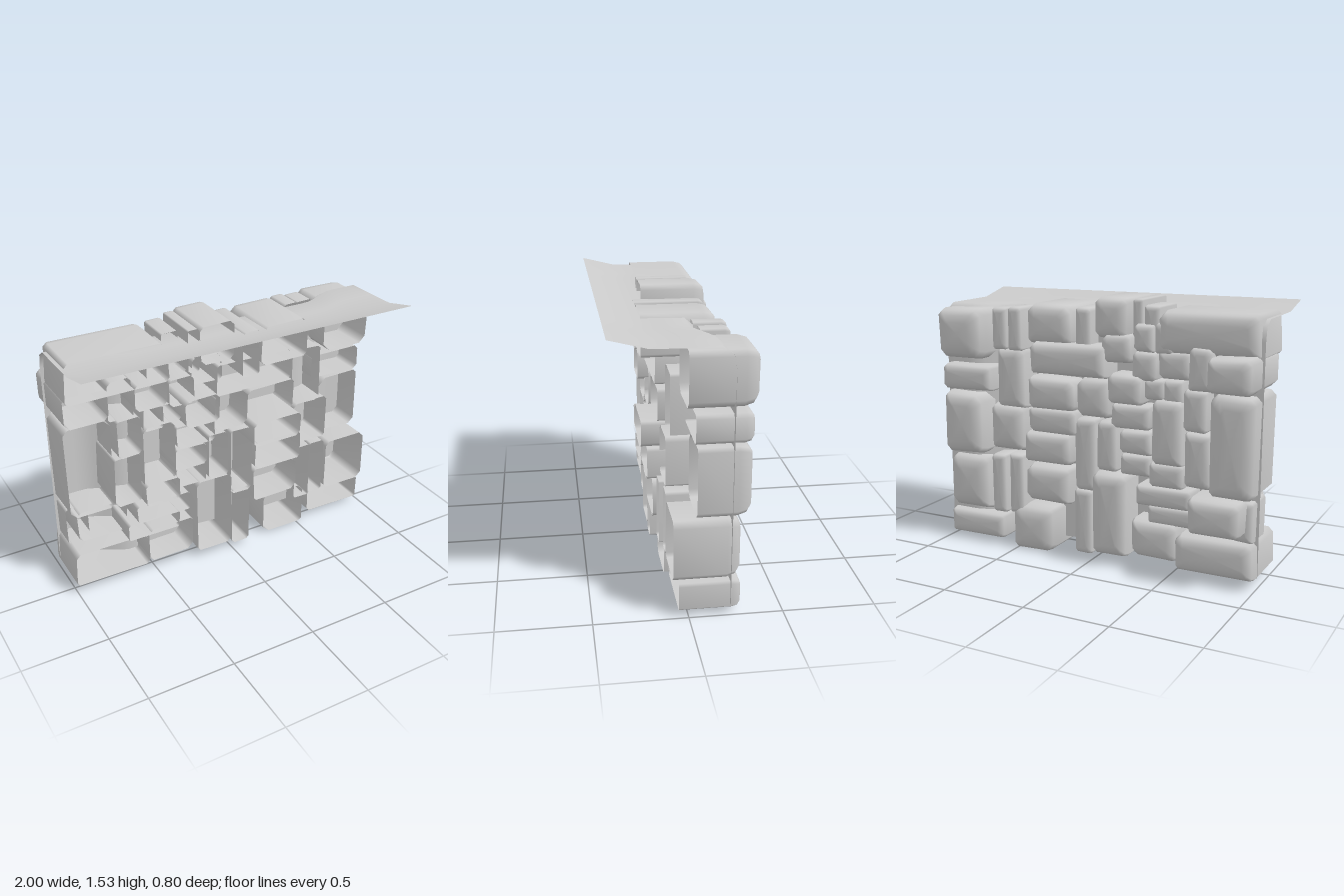
import * as THREE from 'three';

const material = new THREE.MeshStandardMaterial({ color: 0xcccccc, roughness: 0.9, side: THREE.DoubleSide });

// Small seeded generator for irregular stone outlines
let seed = 7;
const rand = () => ((seed = (seed * 16807) % 2147483647) / 2147483647) * 2 - 1;

// Each stone: x0, x1, y0, y1, open end z, rounded end z
const capCourse = [
  [0.68, 1.0, 1.13, 1.45, 0.01, -0.35],
  [0.55, 0.66, 1.2, 1.45, -0.1, -0.26], [0.45, 0.55, 1.2, 1.46, -0.08, -0.26],
  [0.14, 0.45, 1.24, 1.48, 0.18, -0.23], [0.02, 0.13, 1.2, 1.47, 0.18, -0.21],
  [-0.22, 0, 1.3, 1.54, 0.13, -0.24], [-0.29, -0.22, 1.28, 1.53, 0.13, -0.18],
  [-0.4, -0.3, 1.3, 1.5, 0.03, -0.2],
  [-0.99, -0.39, 1.24, 1.49, 0.1, -0.26],
];
const upperCourse = [
  [0.63, 0.98, 0.95, 1.11, -0.03, -0.33], [0.43, 0.64, 0.85, 1.22, 0.05, -0.26],
  [-0.1, 0.4, 1.07, 1.27, 0.1, -0.28], [-0.25, -0.05, 1.17, 1.34, 0.08, -0.25],
  [-0.38, -0.25, 1.24, 1.4, 0.04, -0.24], [-0.5, -0.38, 1.24, 1.42, 0.04, -0.25],
  [-0.4, -0.24, 1.08, 1.25, 0.1, -0.24], [-0.6, -0.4, 1.1, 1.27, 0.1, -0.25],
  [-0.74, -0.59, 1.06, 1.3, 0.05, -0.28], [-0.99, -0.73, 1.07, 1.27, 0.05, -0.39],
];
const middleCourse = [
  [0.7, 0.99, 0.55, 0.94, -0.04, -0.33], [0.43, 0.68, 0.6, 0.88, 0.08, -0.28],
  [0.1, 0.43, 0.86, 1.06, 0.09, -0.26], [0.1, 0.43, 0.72, 0.88, 0.18, -0.25],
  [-0.12, 0.11, 0.84, 1.08, 0.1, -0.26], [-0.32, -0.1, 0.94, 1.12, 0.14, -0.27],
  [-0.44, -0.31, 0.98, 1.1, 0.08, -0.23], [-0.55, -0.42, 0.96, 1.1, 0.08, -0.22],
  [-0.36, -0.11, 0.8, 0.95, 0.1, -0.24], [-0.57, -0.36, 0.62, 1.0, 0.1, -0.26],
  [-0.71, -0.56, 0.83, 1.07, 0.08, -0.27], [-1.0, -0.71, 0.48, 1.07, 0.02, -0.31],
  [-0.74, -0.57, 0.52, 0.84, 0.08, -0.28],
];
const lowerCourse = [
  [0.69, 0.99, 0.2, 0.54, 0.08, -0.28], [0.57, 0.68, 0.2, 0.57, 0.08, -0.27],
  [0.45, 0.56, 0.21, 0.58, 0.1, -0.26], [0.13, 0.45, 0.54, 0.73, 0.15, -0.27],
  [0.14, 0.45, 0.3, 0.54, 0.12, -0.27], [-0.02, 0.13, 0.4, 0.84, 0.12, -0.23],
  [-0.16, -0.02, 0.54, 0.84, 0.1, -0.24], [-0.37, -0.16, 0.66, 0.8, 0.1, -0.24],
  [-0.36, -0.16, 0.53, 0.66, 0.08, -0.22], [-0.57, -0.35, 0.49, 0.64, 0.12, -0.25],
  [-0.62, -0.28, 0.38, 0.5, 0.1, -0.26], [-0.68, -0.35, 0.28, 0.39, 0.1, -0.25],
  [-0.95, -0.64, 0.3, 0.51, 0.0, -0.4], [-0.99, -0.85, 0.26, 0.5, -0.08, -0.28],
];
const baseCourse = [
  [0.59, 0.99, 0.03, 0.19, 0.05, -0.28], [0.24, 0.55, -0.02, 0.28, 0.07, -0.28],
  [0.0, 0.13, 0.02, 0.42, 0.1, -0.24], [-0.24, 0.0, 0.04, 0.54, 0.1, -0.28],
  [-0.55, -0.25, 0.07, 0.3, 0.08, -0.28], [-1.0, -0.53, 0.05, 0.27, 0.06, -0.31],
];

// Shell stone: straight walls along z, open at +z, softly rounded at -z
function stone([x0, x1, y0, y1, zf, zb]) {
  const w = (x1 - x0) / 2, h = (y1 - y0) / 2, m = Math.min(w, h);
  const cx = (x0 + x1) / 2, cy = (y0 + y1) / 2;
  const outline = [];
  // two points per chamfered, slightly shifted corner, counterclockwise
  for (const [sx, sy] of [[1, 1], [-1, 1], [-1, -1], [1, -1]]) {
    const px = w - m * 0.05 * (1 + rand()), py = h - m * 0.05 * (1 + rand());
    const c = m * (0.22 + 0.1 * rand());
    const a = [sx * px, sy * (py - c)], b = [sx * (px - c), sy * py];
    outline.push(...(sx * sy > 0 ? [a, b] : [b, a]));
  }
  const bevel = Math.min(m * 0.6, 0.08);
  // depth along z and inset towards the middle
  const rings = [[zf, 0], [zb + bevel, 0], [zb + bevel * 0.4, 0.08], [zb + bevel * 0.12, 0.26], [zb, 0.55]];
  const pos = [], index = [], n = outline.length;
  for (const [z, inset] of rings) for (const [x, y] of outline) {
    pos.push(cx + x * (1 - inset * m / w), Math.max(0, cy + y * (1 - inset * m / h)), z);
  }
  pos.push(cx, cy, zb);
  for (let r = 0; r < rings.length; r++) for (let j = 0; j < n; j++) {
    const a = r * n + j, b = r * n + (j + 1) % n;
    if (r < rings.length - 1) index.push(a, a + n, b, b, a + n, b + n);
    else index.push(a, rings.length * n, b);
  }
  const g = new THREE.BufferGeometry();
  g.setAttribute('position', new THREE.Float32BufferAttribute(pos, 3));
  g.setIndex(index);
  g.computeVertexNormals();
  return g;
}

// Thin backing sheet that bends forward at the top into a ledge
function backingSheet() {
  const profile = [[0.06, 0], [0.5, 0], [1.0, 0], [1.34, 0], [1.42, 0.015], [1.455, 0.07], [1.457, 0.25], [1.46, 0.42], [1.51, 0.62]];
  const cols = 40, g = new THREE.PlaneGeometry(2, 1, cols, profile.length - 1), p = g.attributes.position;
  for (let i = 0; i < p.count; i++) {
    const x = p.getX(i), row = profile.length - 1 - Math.floor(i / (cols + 1));
    const [y, d] = profile[row];
    const bulge = 1 - THREE.MathUtils.smoothstep(Math.abs(x), 0.57, 0.83);
    const back = -0.22 + 0.11 * bulge;
    const lift = row === 0 ? 0.03 * Math.max(0, 1 - Math.abs(x + 0.15) / 0.45) : 0;
    p.setXYZ(i, x, y + lift, back + d * (0.4 - back) / 0.62);
  }
  g.computeVertexNormals();
  return g;
}

export function createModel() {
  const model = new THREE.Group();
  model.name = 'stoneWall';
  const courses = { capCourse, upperCourse, middleCourse, lowerCourse, baseCourse };
  for (const [name, stones] of Object.entries(courses)) {
    const course = new THREE.Group();
    course.name = name;
    for (const s of stones) {
      const mesh = new THREE.Mesh(stone(s), material);
      mesh.name = 'stone';
      course.add(mesh);
    }
    model.add(course);
  }
  const sheet = new THREE.Mesh(backingSheet(), material);
  sheet.name = 'backingSheet';
  model.add(sheet);
  return model;
}
